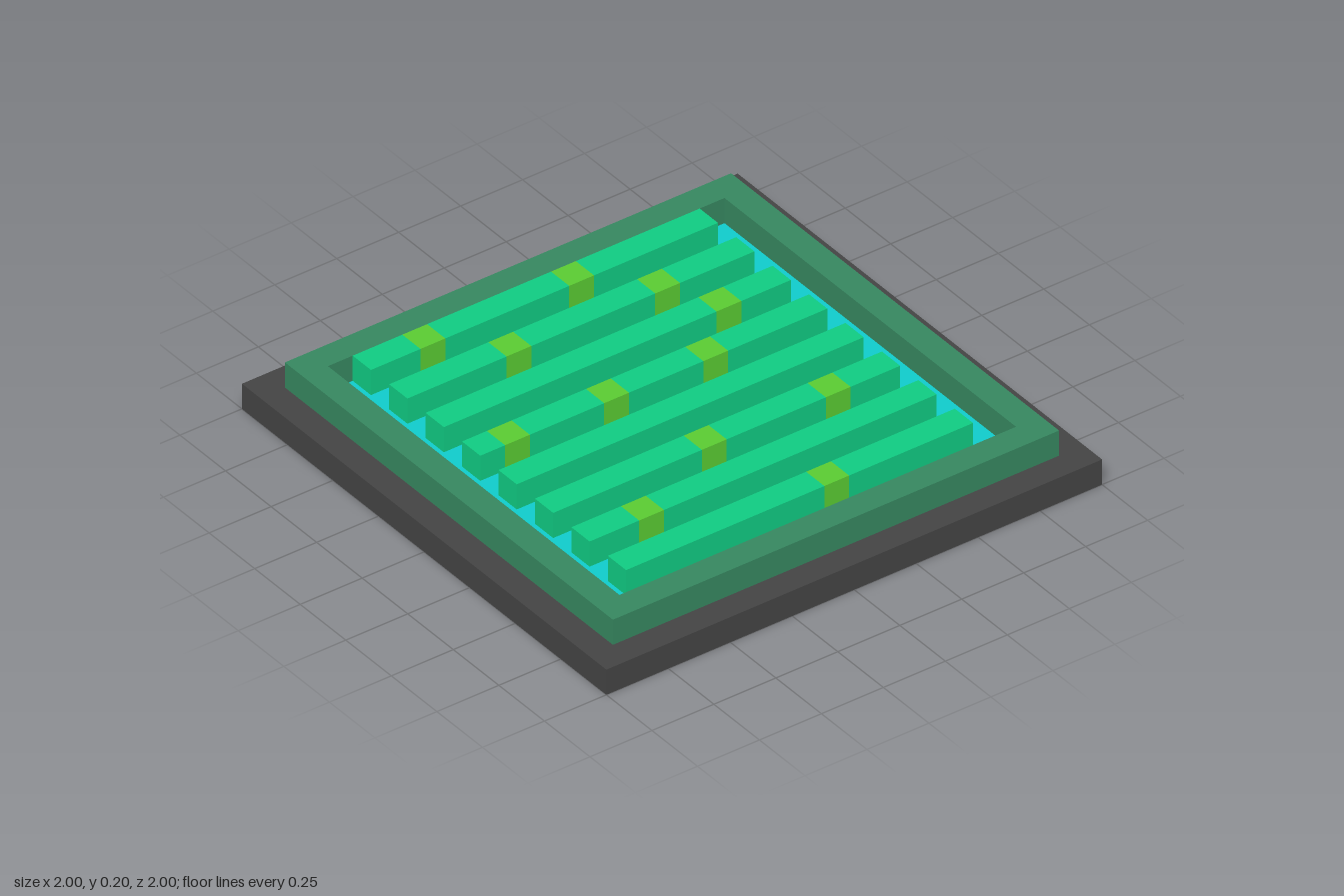
import * as THREE from 'three';

const material = (name, color) => {
  const m = new THREE.MeshStandardMaterial({ color });
  m.name = name;
  return m;
};

// Square ring lying flat, from half-width inner to outer
function ring(name, outer, inner, y, height, mat) {
  const square = (Type, h) => new Type([[-h, -h], [h, -h], [h, h], [-h, h]].map(p => new THREE.Vector2(...p)));
  const shape = square(THREE.Shape, outer);
  shape.holes.push(square(THREE.Path, inner));
  const geometry = new THREE.ExtrudeGeometry(shape, { depth: height, bevelEnabled: false });
  geometry.rotateX(-Math.PI / 2).translate(0, y, 0);
  const mesh = new THREE.Mesh(geometry, mat);
  mesh.name = name;
  return mesh;
}

// Box spanning x0..x1 and y0..y1, centred on z
function block(name, x0, x1, y0, y1, z, depth, mat) {
  const mesh = new THREE.Mesh(new THREE.BoxGeometry(x1 - x0, y1 - y0, depth), mat);
  mesh.name = name;
  mesh.position.set((x0 + x1) / 2, (y0 + y1) / 2, z);
  return mesh;
}

export function createModel() {
  const stone = material('dark grey', 0x444444);
  const rimGreen = material('rim green', 0x368760);
  const cropGreen = material('crop green', 0x10cb82);
  const lime = material('lime', 0x5acb32);
  const cyan = material('water cyan', 0x10cbcb);

  const model = new THREE.Group();
  model.name = 'plantBed';
  model.add(
    ring('base', 1, 0.8, 0, 0.1, stone),
    ring('rim', 0.9, 0.8, 0.1, 0.1, rimGreen),
    block('water', -0.8, 0.8, 0, 0.1, 0, 1.6, cyan)
  );

  // Left edges of the lime cells in each row, back to front
  const rows = [[-0.5, 0.1], [-0.3, 0.3], [0.4], [-0.6, -0.2, 0.2], [], [-0.1, 0.4], [-0.5], [0.1]];
  rows.forEach((cells, i) => {
    const row = new THREE.Group();
    row.name = `cropRow${i + 1}`;
    const z = -0.75 + 0.2 * i;
    let x = -0.7;
    for (const cell of cells) {
      row.add(block('cropStrip', x, cell, 0.1, 0.2, z, 0.1, cropGreen));
      row.add(block('limeCell', cell, cell + 0.1, 0.1, 0.2, z, 0.1, lime));
      x = cell + 0.1;
    }
    row.add(block('cropStrip', x, 0.7, 0.1, 0.2, z, 0.1, cropGreen));
    model.add(row);
  });
  return model;
}
